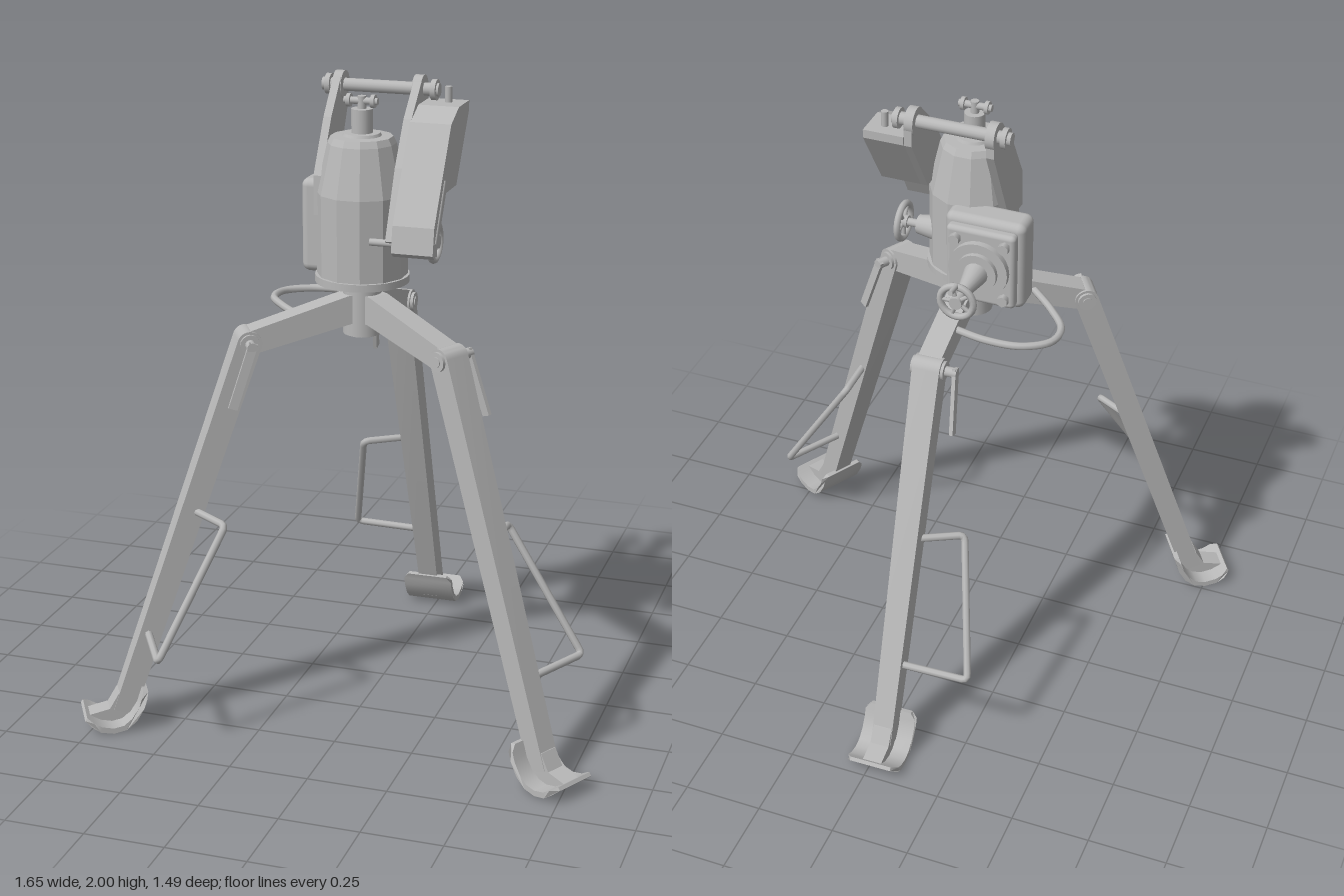
import * as THREE from 'three';
import { toCreasedNormals } from 'three/addons/utils/BufferGeometryUtils.js';
import { RoundedBoxGeometry } from 'three/addons/geometries/RoundedBoxGeometry.js';

const steel = new THREE.MeshStandardMaterial({ color: 0xb8b8b8 });
steel.name = 'paintedSteel';

const V = (x, y, z) => new THREE.Vector3(x, y, z);
const CX = -0.015, CZ = 0.165; // axis of the housing

function add(parent, name, geometry) {
  const mesh = new THREE.Mesh(geometry, steel);
  mesh.name = name;
  parent.add(mesh);
  return mesh;
}

// Round bar between two points, optionally tapered
function rod(parent, name, a, b, r0, r1 = r0, sides = 16) {
  const d = b.clone().sub(a);
  const m = add(parent, name, new THREE.CylinderGeometry(r1, r0, d.length(), sides));
  m.position.copy(a).add(b).multiplyScalar(0.5);
  m.quaternion.setFromUnitVectors(V(0, 1, 0), d.normalize());
  return m;
}

// Profile in x/y, extruded symmetrically along z
function slab(shape, width) {
  const s = Array.isArray(shape) ? new THREE.Shape(shape.map(p => new THREE.Vector2(...p))) : shape;
  return new THREE.ExtrudeGeometry(s, { depth: width, bevelEnabled: false, curveSegments: 8 })
    .translate(0, 0, -width / 2);
}

// Scales the width of a slab by a rule of x and y
function taper(g, rule) {
  const pos = g.attributes.position;
  for (let i = 0; i < pos.count; i++) pos.setZ(i, pos.getZ(i) * rule(pos.getX(i), pos.getY(i)));
  g.computeVertexNormals();
  return toCreasedNormals(g, 0.65);
}

// Profile in z/y, spanning x0..x1
function sidePlate(shape, x0, x1) {
  return slab(shape, x1 - x0).rotateY(-Math.PI / 2).translate((x0 + x1) / 2, 0, 0);
}

// Bent bar with tight corners
function bentBar(points, r) {
  const path = new THREE.CurvePath();
  let from = points[0];
  for (let i = 1; i < points.length - 1; i++) {
    const c = points[i];
    const a = c.clone().add(points[i - 1].clone().sub(c).setLength(0.02));
    const b = c.clone().add(points[i + 1].clone().sub(c).setLength(0.02));
    path.add(new THREE.LineCurve3(from, a));
    path.add(new THREE.QuadraticBezierCurve3(a, c, b));
    from = b;
  }
  path.add(new THREE.LineCurve3(from, points[points.length - 1]));
  return new THREE.TubeGeometry(path, 80, r, 8);
}

// One leg, pointing outward along local +x
function makeLeg() {
  const leg = new THREE.Group();
  leg.name = 'leg';
  add(leg, 'hubArm', slab([[0.03, 1.36], [0.06, 1.358], [0.36, 1.268], [0.385, 1.25],
    [0.385, 1.215], [0.35, 1.195], [0.05, 1.27], [0.03, 1.27]], 0.074));

  // Tapered leg with a rounded head around the hinge
  const hx = 0.365, hy = 1.23, tilt = Math.atan2(0.335, 0.942);
  const px = Math.cos(tilt), py = Math.sin(tilt);
  const s = new THREE.Shape();
  s.absarc(hx, hy, 0.038, tilt, tilt + Math.PI, false);
  s.lineTo(0.785 - px * 0.034, 0.045 - py * 0.034);
  s.lineTo(0.785 + px * 0.034, 0.045 + py * 0.034);
  add(leg, 'legTube', taper(slab(s, 1), (x, y) => 0.064 + 0.024 * y / 1.25));

  // Curved ski-shaped foot, slightly narrower at both ends
  const under = [[0.712, 0.125], [0.718, 0.105], [0.728, 0.075], [0.752, 0.035], [0.785, 0.008], [0.825, 0],
    [0.865, 0.008], [0.892, 0.028], [0.912, 0.045]];
  const over = [[0.905, 0.055], [0.885, 0.041], [0.86, 0.026], [0.825, 0.018], [0.793, 0.024],
    [0.766, 0.046], [0.744, 0.08], [0.735, 0.108], [0.728, 0.128]];
  add(leg, 'foot', taper(slab([...under, ...over], 0.17), (x, y) => (y > 0.12 || x > 0.9 ? 0.8 : 1)));
  add(leg, 'footGusset', slab([[0.745, 0.12], [0.76, 0.045], [0.8, 0.01], [0.85, 0.012],
    [0.9, 0.045], [0.83, 0.06], [0.8, 0.11]], 0.062));

  // Hinge pin, clamping lever and carrying handle
  rod(leg, 'hingePin', V(hx, hy, -0.09), V(hx, hy, 0.056), 0.016);
  for (const z of [-0.047, 0.047]) rod(leg, 'hingeWasher', V(hx, hy, z - 0.006), V(hx, hy, z + 0.006), 0.03);
  const lever = add(leg, 'clampLever', new THREE.BoxGeometry(0.028, 0.21, 0.012));
  lever.position.set(0.395, 1.145, -0.09);
  lever.rotation.set(0.08, 0, 0.34);
  add(leg, 'legHandle', bentBar([V(0.55, 0.70, -0.01), V(0.47, 0.695, -0.155),
    V(0.70, 0.31, -0.25), V(0.70, 0.305, -0.01)], 0.012));
  return leg;
}

// Handwheel on a local +y shaft, centred on its rim
function makeHandwheel(radius) {
  const wheel = new THREE.Group();
  wheel.name = 'handwheel';
  add(wheel, 'wheelRim', new THREE.TorusGeometry(radius - 0.01, 0.011, 8, 28).rotateX(Math.PI / 2));
  rod(wheel, 'wheelHub', V(0, -0.016, 0), V(0, 0.014, 0), 0.02);
  for (let i = 0; i < 5; i++) {
    const a = i * Math.PI * 0.4;
    rod(wheel, 'wheelSpoke', V(0, 0, 0), V(Math.cos(a) * (radius - 0.01), 0, Math.sin(a) * (radius - 0.01)), 0.007, 0.007, 6);
  }
  return wheel;
}

export function createModel() {
  const model = new THREE.Group();
  model.name = 'tripodMount';

  // Three legs
  for (const deg of [-29.2, 90.8, 210.8]) {
    const leg = makeLeg();
    leg.position.set(-0.006, 0, 0.167);
    leg.rotation.y = THREE.MathUtils.degToRad(deg);
    model.add(leg);
  }

  // Central column and faceted housing
  rod(model, 'column', V(CX, 1.23, CZ), V(CX, 1.40, CZ), 0.06, 0.06, 24);
  rod(model, 'columnFoot', V(CX, 1.225, CZ), V(CX, 1.25, CZ), 0.048, 0.048, 24);
  rod(model, 'baseDisc', V(CX, 1.395, CZ), V(CX, 1.418, CZ), 0.144, 0.144, 32);
  const profile = [[0, 1.41], [0.138, 1.41], [0.138, 1.67], [0.104, 1.82], [0.094, 1.84], [0.05, 1.842], [0, 1.842]];
  const housing = add(model, 'housing', toCreasedNormals(
    new THREE.LatheGeometry(profile.map(p => new THREE.Vector2(...p)), 12), 0.2));
  housing.position.set(CX, 0, CZ);
  housing.rotation.y = Math.PI / 12;

  // Top spigot with cross pin
  rod(model, 'spigotCollar', V(CX, 1.84, CZ), V(CX, 1.85, CZ), 0.06, 0.055, 20);
  rod(model, 'spigot', V(CX, 1.84, CZ), V(CX, 1.922, CZ), 0.032, 0.032, 20);
  rod(model, 'spigotTip', V(CX, 1.92, CZ), V(CX, 1.96, CZ), 0.013);
  rod(model, 'crossPin', V(-0.07, 1.945, CZ), V(0.035, 1.945, CZ), 0.011);
  for (const x of [-0.055, 0.021]) rod(model, 'pinCollar', V(x - 0.006, 1.945, CZ), V(x + 0.006, 1.945, CZ), 0.02);

  // Rear gear box with flanges, bolts and shaft
  const GX = -0.117, GY = 1.527;
  add(model, 'gearBox', new RoundedBoxGeometry(0.255, 0.295, 0.1, 3, 0.025)).position.set(GX, GY, 0.03);
  add(model, 'gearBoxWeb', new THREE.BoxGeometry(0.12, 0.16, 0.1)).position.set(-0.1, 1.49, 0.1);
  add(model, 'gearCover', new RoundedBoxGeometry(0.22, 0.255, 0.04, 3, 0.015)).position.set(GX, GY, -0.035);
  rod(model, 'outerFlange', V(GX, GY, -0.05), V(GX, GY, -0.075), 0.094, 0.094, 24);
  rod(model, 'innerFlange', V(GX, GY, -0.07), V(GX, GY, -0.09), 0.064, 0.064, 24);
  for (const sx of [-1, 1]) for (const sy of [-1, 1]) {
    const x = GX + sx * 0.078, y = GY + sy * 0.092;
    rod(model, 'coverBolt', V(x, y, -0.05), V(x, y, -0.075), 0.018, 0.018, 6);
  }
  rod(model, 'shaftCone', V(GX, GY, -0.088), V(GX, GY, -0.19), 0.038, 0.02);
  rod(model, 'rearShaft', V(GX, GY, -0.19), V(GX, GY, -0.25), 0.013);
  const rearWheel = makeHandwheel(0.062);
  rearWheel.position.set(GX, GY, -0.245);
  rearWheel.rotation.x = -Math.PI / 2;
  model.add(rearWheel);
  rod(model, 'rearCrank', V(GX, GY + 0.055, -0.245), V(GX, GY + 0.062, -0.298), 0.008);

  // Side handwheel
  rod(model, 'sideBoss', V(0.09, 1.52, 0.12), V(0.15, 1.52, 0.12), 0.04, 0.03);
  rod(model, 'sideShaft', V(0.14, 1.52, 0.12), V(0.2, 1.52, 0.12), 0.013);
  const sideWheel = makeHandwheel(0.066);
  sideWheel.position.set(0.2, 1.52, 0.12);
  sideWheel.rotation.z = -Math.PI / 2;
  model.add(sideWheel);

  // Yoke: cross bar carried by two side arms
  const YY = 1.957, YZ = -0.005;
  rod(model, 'yokeBar', V(-0.195, YY, YZ), V(0.175, YY, YZ), 0.02);
  for (const x of [-0.175, 0.16]) rod(model, 'yokeCollar', V(x - 0.008, YY, YZ), V(x + 0.008, YY, YZ), 0.032);
  for (const x of [-0.139, 0.113]) rod(model, 'yokeEye', V(x - 0.014, YY, YZ), V(x + 0.014, YY, YZ), 0.043, 0.043, 24);
  add(model, 'rightArm', sidePlate([[-0.04, 1.95], [-0.04, 1.9], [0.1, 1.62], [0.22, 1.6],
    [0.215, 1.72], [0.12, 1.88], [0.03, 1.985]], -0.152, -0.127));
  add(model, 'leftArm', sidePlate([[-0.045, 1.95], [-0.045, 1.89], [0.08, 1.69], [0.19, 1.69],
    [0.28, 1.54], [0.31, 1.56], [0.215, 1.76], [0.13, 1.89], [0.03, 1.985]], 0.103, 0.128));

  // Side case with a ribbed tail
  add(model, 'sideCase', sidePlate([[-0.052, 1.895], [0.08, 1.69], [0.19, 1.69], [0.285, 1.525], [0.305, 1.515],
    [0.325, 1.53], [0.31, 1.61], [0.215, 1.765], [0.14, 1.885], [0.06, 1.922], [-0.052, 1.922]], 0.126, 0.254));
  rod(model, 'caseRib', V(0.252, 1.73, 0.205), V(0.252, 1.56, 0.3), 0.006, 0.006, 8);
  rod(model, 'caseTie', V(0.05, 1.55, 0.29), V(0.25, 1.55, 0.29), 0.011);
  rod(model, 'caseKnob', V(0.203, 1.92, -0.005), V(0.203, 1.97, -0.005), 0.011);

  // Curved grab handle between the rear and right arms
  const grab = new THREE.CatmullRomCurve3([[-0.02, -0.05], [-0.15, -0.075], [-0.26, -0.065], [-0.335, -0.01],
    [-0.34, 0.065], [-0.28, 0.15], [-0.18, 0.25]].map(p => V(p[0], 1.285, p[1])));
  add(model, 'grabHandle', new THREE.TubeGeometry(grab, 40, 0.012, 8));

  return model;
}
